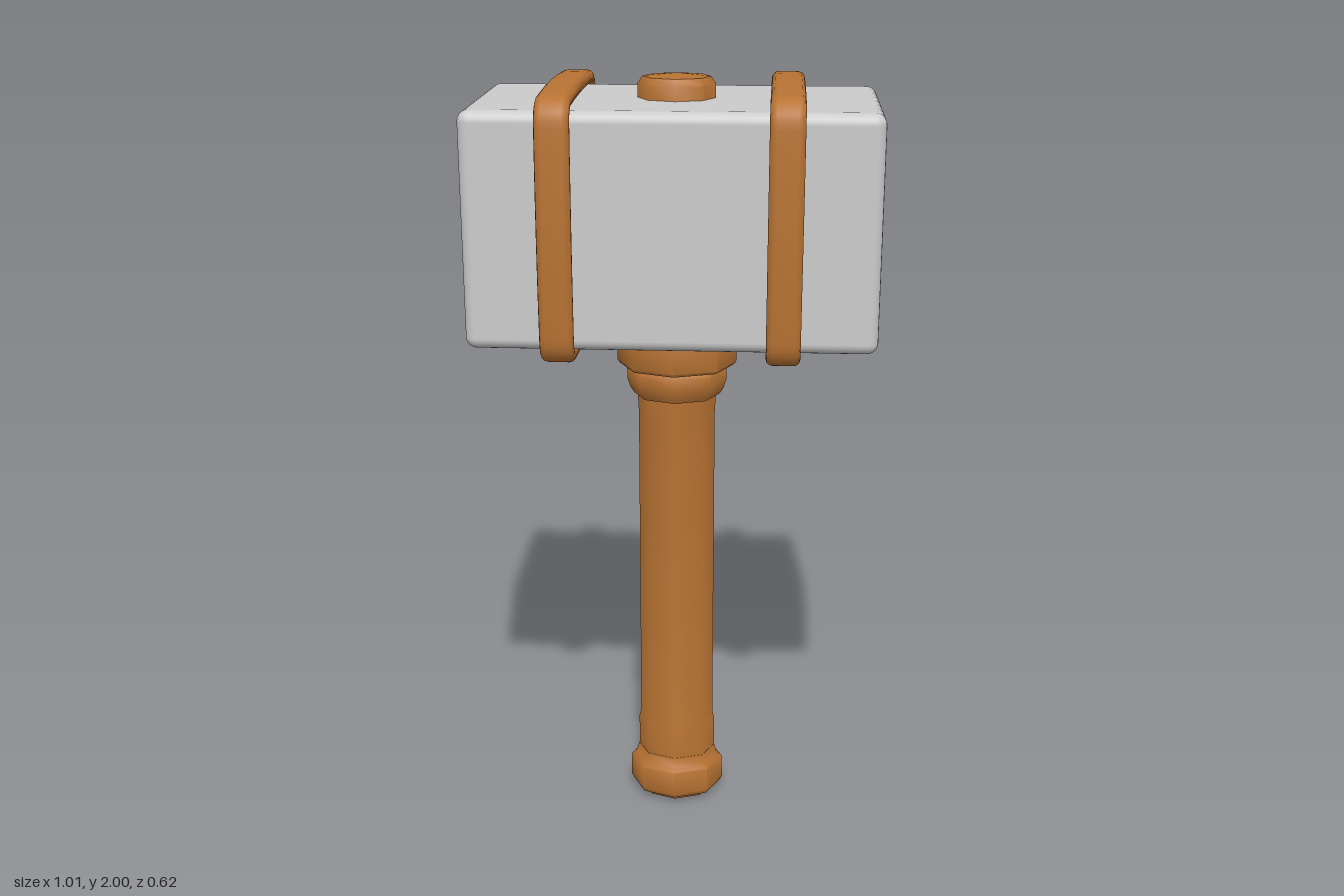
import * as THREE from 'three';
import { toCreasedNormals } from 'three/addons/utils/BufferGeometryUtils.js';
import { RoundedBoxGeometry } from 'three/addons/geometries/RoundedBoxGeometry.js';

const wood = new THREE.MeshStandardMaterial({ color: 0xb87333 });
const stone = new THREE.MeshStandardMaterial({ color: 0xcccccc });

// Eight-sided turned part, flattened front to back; profile is [radius, y] going up
function turned(name, profile, flatten = 0.86) {
  const lathe = new THREE.LatheGeometry(profile.map(([r, y]) => new THREE.Vector2(r, y)), 8);
  lathe.scale(1, 1, flatten);
  const mesh = new THREE.Mesh(toCreasedNormals(lathe, 0.85), wood);
  mesh.name = name;
  return mesh;
}

// Rounded rectangle with sides that bow outwards slightly
function bowedOutline(path, w, h, r, bow) {
  const a = w - bow, b = h - bow;
  path.moveTo(-a + r, -b);
  path.quadraticCurveTo(0, -b - 2 * bow, a - r, -b);
  path.quadraticCurveTo(a, -b, a, -b + r);
  path.quadraticCurveTo(a + 2 * bow, 0, a, b - r);
  path.quadraticCurveTo(a, b, a - r, b);
  path.quadraticCurveTo(0, b + 2 * bow, -a + r, b);
  path.quadraticCurveTo(-a, b, -a, b - r);
  path.quadraticCurveTo(-a - 2 * bow, 0, -a, -b + r);
  path.quadraticCurveTo(-a, -b, -a + r, -b);
  return path;
}

// Band wrapped round the head, with rounded edges
function strap(name, x) {
  const shape = bowedOutline(new THREE.Shape(), 0.297, 0.318, 0.06, 0.007);
  shape.holes.push(bowedOutline(new THREE.Path(), 0.289, 0.31, 0.05, 0.005));
  const depth = 0.05;
  const geo = new THREE.ExtrudeGeometry(shape, {
    depth, curveSegments: 6, bevelEnabled: true,
    bevelSize: 0.015, bevelThickness: 0.017, bevelSegments: 3,
  });
  geo.translate(0, 0, -depth / 2);
  geo.rotateY(Math.PI / 2);
  const mesh = new THREE.Mesh(toCreasedNormals(geo, 0.8), wood);
  mesh.name = name;
  mesh.position.set(x, 1.652, 0);
  return mesh;
}

export function createModel() {
  const model = new THREE.Group();
  model.name = 'hammer';

  // Block head
  const head = new THREE.Mesh(new RoundedBoxGeometry(1.01, 0.58, 0.54, 3, 0.028), stone);
  head.name = 'head';
  head.position.y = 1.65;
  model.add(head);

  model.add(strap('leftStrap', 0.275), strap('rightStrap', -0.275));

  // Handle, from the butt up to the end that pokes out of the head
  model.add(
    turned('pommel', [[0, 0], [0.095, 0.002], [0.105, 0.018], [0.122, 0.02], [0.129, 0.032],
      [0.127, 0.098], [0.112, 0.112], [0.106, 0.135], [0, 0.135]]),
    turned('grip', [[0.105, 0.1], [0.105, 0.22], [0.1, 0.24], [0.1, 1.12], [0.104, 1.2]]),
    turned('lowerCollar', [[0, 1.175], [0.112, 1.175], [0.122, 1.19], [0.13, 1.215],
      [0.13, 1.243], [0.12, 1.257], [0, 1.257]]),
    turned('upperCollar', [[0, 1.255], [0.148, 1.255], [0.155, 1.263], [0.155, 1.335],
      [0.143, 1.37], [0, 1.37]]),
    turned('handleEnd', [[0.097, 1.9], [0.097, 1.975], [0.085, 1.992], [0, 2]]),
  );
  return model;
}
